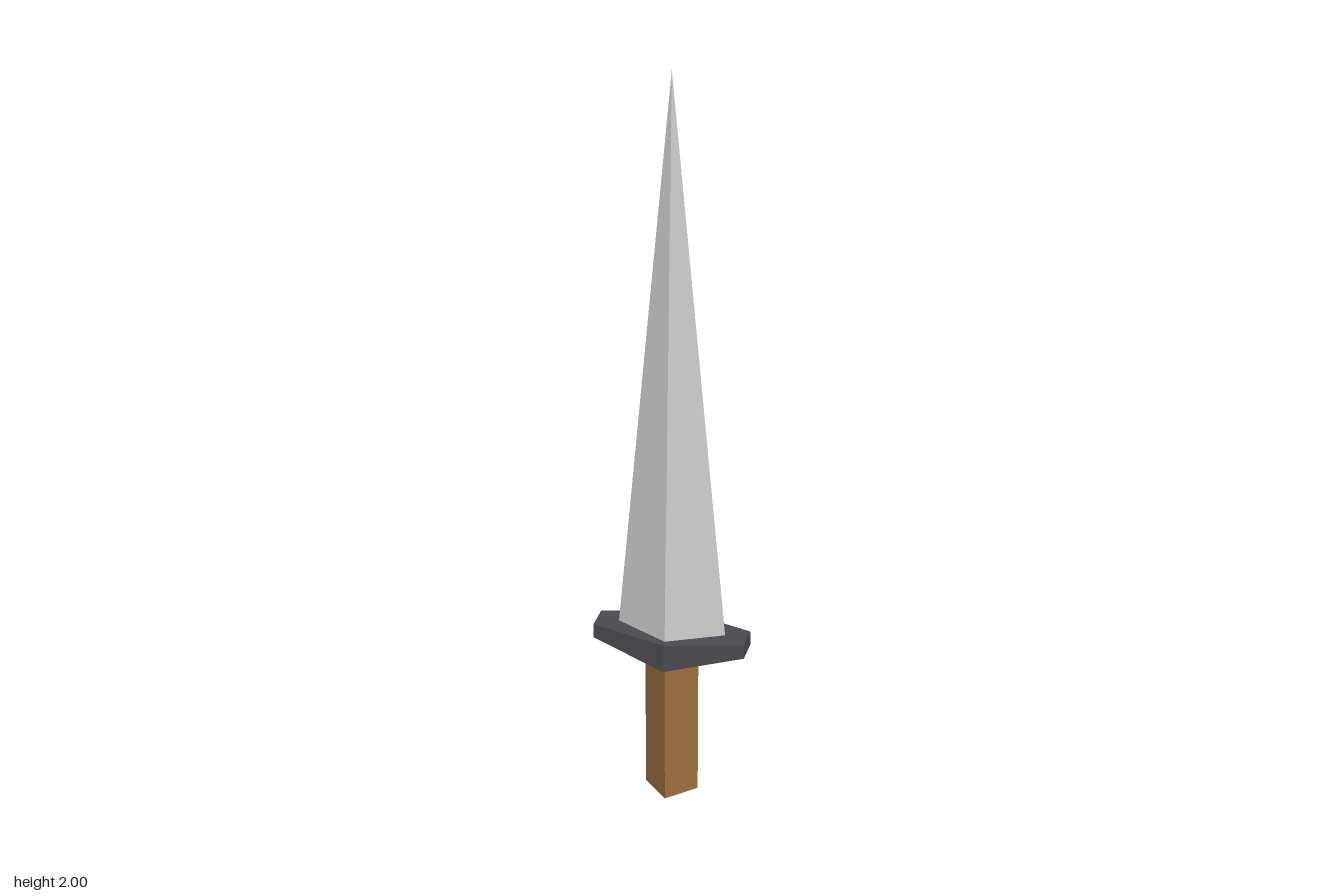
import * as THREE from 'three';

const material = (color) => new THREE.MeshStandardMaterial({ color, flatShading: true });

function part(name, geometry, color, y = 0) {
  const mesh = new THREE.Mesh(geometry, material(color));
  mesh.name = name;
  mesh.position.y = y;
  return mesh;
}

// Six-sided crossguard: widest at the middle, underside rising towards both ends
function guardGeometry() {
  const halfLength = 0.2, top = 0.485, bottom = 0.405, rise = 0.04;
  const geometry = new THREE.CylinderGeometry(1, 1, 1, 6);
  const p = geometry.attributes.position;
  for (let i = 0; i < p.count; i++) {
    const atEnd = Math.abs(p.getX(i)) > 0.5;
    const side = Math.abs(p.getZ(i)) > 0.1 ? Math.sign(p.getZ(i)) : 0;
    const x = atEnd ? Math.sign(p.getX(i)) * halfLength : 0;
    const y = p.getY(i) > 0 ? top : bottom + (atEnd ? rise : 0);
    p.setXYZ(i, x, y, side * (atEnd ? 0.035 : 0.09));
  }
  geometry.computeVertexNormals();
  return geometry;
}

export function createModel() {
  const group = new THREE.Group();
  group.name = 'dagger';

  // Square grip turned corner-forward
  const gripHeight = 0.44;
  group.add(part('grip', new THREE.CylinderGeometry(0.071, 0.071, gripHeight, 4), 0x9c7040, gripHeight / 2));

  group.add(part('guard', guardGeometry(), 0x4b4a50));

  // Four-sided tapering blade with a diamond section
  const bladeBase = 0.48, bladeHeight = 1.52;
  const blade = new THREE.ConeGeometry(1, bladeHeight, 4).scale(0.142, 1, 0.071);
  group.add(part('blade', blade, 0xcccccc, bladeBase + bladeHeight / 2));

  return group;
}
